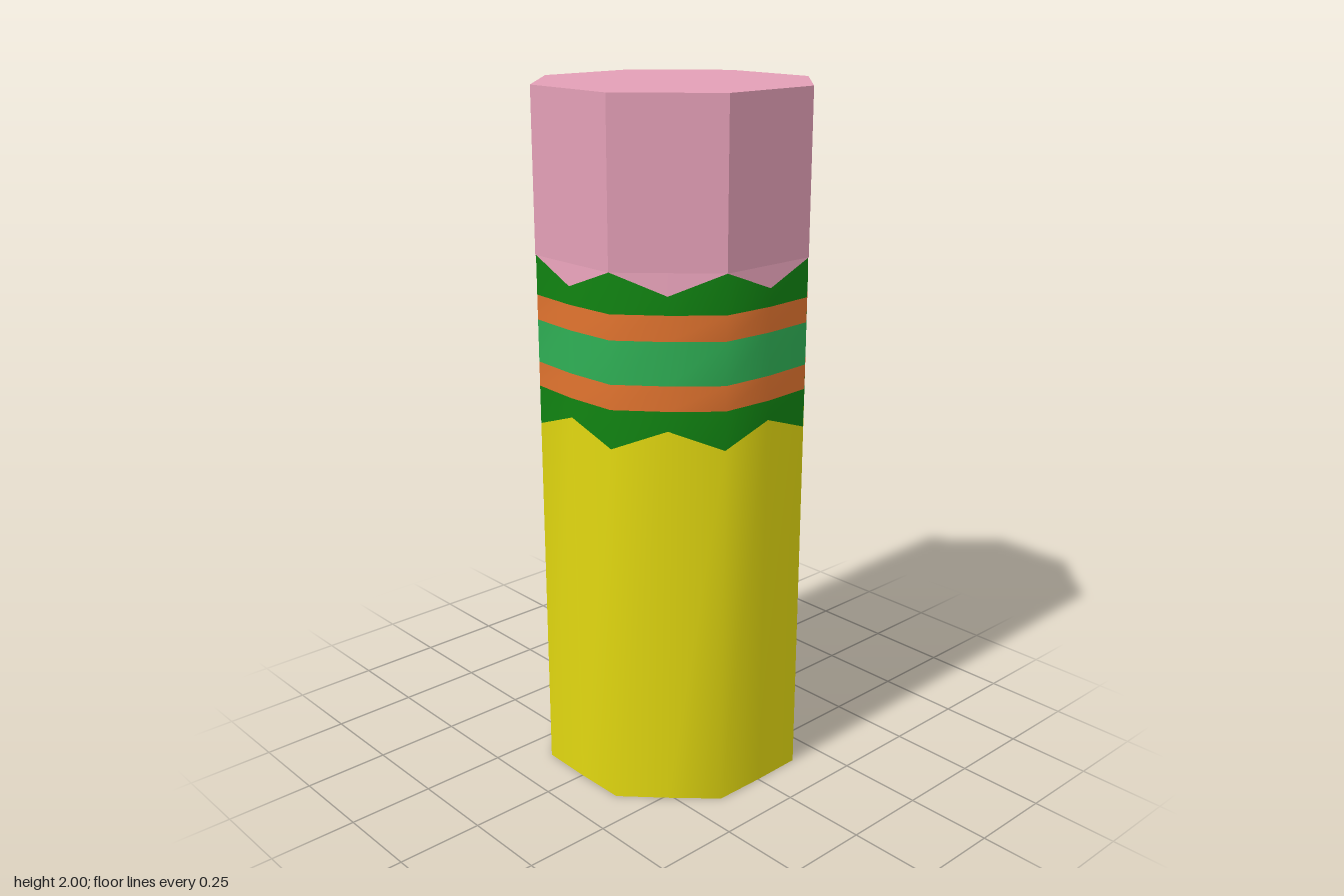
import * as THREE from 'three';

const mat = (name, color) => {
  const m = new THREE.MeshStandardMaterial({ color });
  m.name = name;
  return m;
};

// A ring alternates 8 side midpoints (even) and 8 corners (odd).
const SIDES = 16;
const ring = (rMid, rCorner, yMid, yCorner = yMid) => ({ r: [rMid, rCorner], y: [yMid, yCorner] });

// Outward-facing surface running up from one ring to the next.
function band(rings, flat) {
  const pos = [], index = [];
  rings.forEach((g, j) => {
    for (let i = 0; i < SIDES; i++) {
      const a = (i / SIDES) * Math.PI * 2, k = i % 2;
      pos.push(Math.sin(a) * g.r[k], g.y[k], Math.cos(a) * g.r[k]);
      if (j === 0) continue;
      const n = (i + 1) % SIDES, lo = (j - 1) * SIDES, hi = j * SIDES;
      index.push(lo + i, lo + n, hi + n, lo + i, hi + n, hi + i);
    }
  });
  let geo = new THREE.BufferGeometry();
  geo.setAttribute('position', new THREE.Float32BufferAttribute(pos, 3));
  geo.setIndex(index);
  if (flat) geo = geo.toNonIndexed();
  geo.computeVertexNormals();
  return geo;
}

export function createModel() {
  const group = new THREE.Group();
  const yellow = mat('yellow paint', 0xe2d810);
  const pink = mat('pink rubber', 0xe39fb6);
  const darkGreen = mat('dark green', 0x118412);
  const green = mat('light green', 0x2fb055);
  const orange = mat('orange', 0xe2742f);
  const wood = mat('wood', 0x9e6650);
  const black = mat('black lead', 0x080808);

  const add = (name, material, rings, flat = false) => {
    const mesh = new THREE.Mesh(band(rings, flat), material);
    mesh.name = name;
    group.add(mesh);
  };

  // Shared outlines, with zigzags at both ends of the ferrule
  const M = 0.377, C = 0.398;
  const base = ring(0.37, 0.398, 0);
  const lowerZigzag = ring(M, C, 1.125, 1.07);
  const upperZigzag = ring(M, C, 1.49, 1.55);
  const octagon = 0.4, apothem = octagon * Math.cos(Math.PI / 8);
  const shoulder = ring(apothem, octagon, 1.55);
  const top = ring(apothem, octagon, 2);

  // Painted body
  add('body', yellow, [base, lowerZigzag]);

  // Cut end: wood around the lead
  const leadRim = ring(0.15, 0.155, 0);
  add('woodEnd', wood, [leadRim, base], true);
  add('lead', black, [ring(0, 0, 0), leadRim], true);

  // Striped ferrule
  const level = (y) => ring(M, C, y);
  add('ferruleLowerEdge', darkGreen, [lowerZigzag, level(1.18)]);
  add('ferruleLowerStripe', orange, [level(1.18), level(1.25)]);
  add('ferruleMiddle', green, [level(1.25), level(1.37)]);
  add('ferruleUpperStripe', orange, [level(1.37), level(1.44)]);
  add('ferruleUpperEdge', darkGreen, [level(1.44), upperZigzag]);

  // Octagonal eraser
  add('eraserShoulder', pink, [upperZigzag, shoulder], true);
  add('eraser', pink, [shoulder, top], true);
  add('eraserTop', pink, [top, ring(0, 0, 2)], true);

  return group;
}
